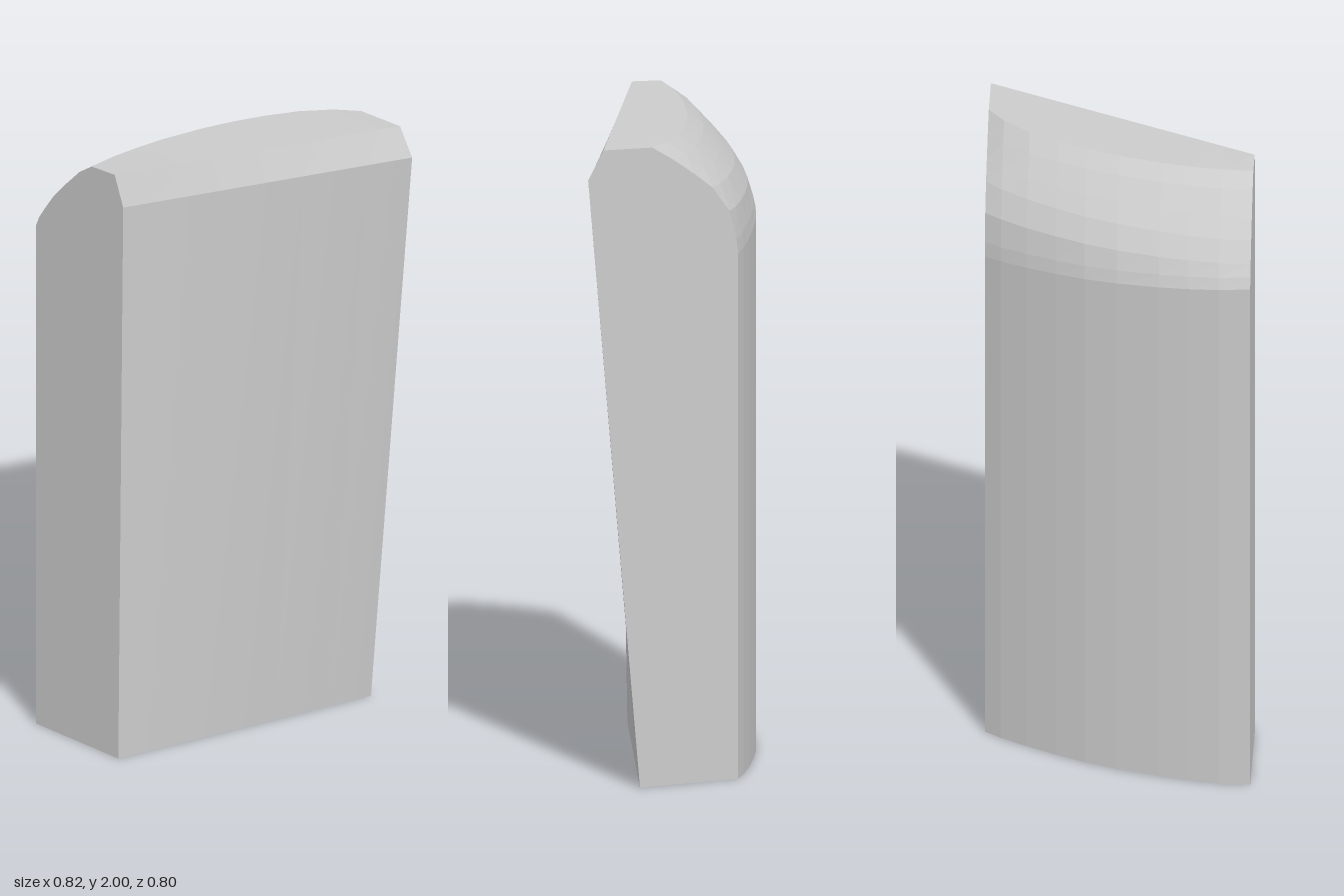
import * as THREE from 'three';

// Plan stations along x: [x, z of back wall, z where the crown starts to fall]
const STATIONS = [
  [-0.41, -0.40, -0.17], [-0.315, -0.395, -0.165], [-0.22, -0.377, -0.15], [-0.13, -0.355, -0.13],
  [0, -0.315, -0.09], [0.1, -0.275, -0.05], [0.19, -0.23, -0.005], [0.28, -0.18, 0.05],
  [0.36, -0.13, 0.12], [0.41, -0.092, 0.19],
];

// Rounded shoulder as fractions [depth, drop] at the left-hand and right-hand ends
const SHOULDER_A = [[0, 0], [0.22, 0.13], [0.48, 0.36], [0.68, 0.55], [0.85, 0.76], [0.94, 0.88], [1, 1]];
const SHOULDER_B = [[0, 0], [0.24, 0.12], [0.5, 0.27], [0.7, 0.4], [0.9, 0.62], [0.98, 0.87], [1, 1]];

const mix = THREE.MathUtils.lerp;

// One closed section, running up the front, over the crown and down the back
function section([x, back, ridge]) {
  const t = (x + 0.41) / 0.82;
  const points = [
    [x, 0, mix(-0.06, 0.23, t)],
    [x, mix(1.9, 1.91, t), mix(-0.04, 0.4, t)],
    [x, 2, mix(-0.075, 0.35, t)],
  ];
  SHOULDER_A.forEach((a, k) => {
    const b = SHOULDER_B[k];
    const depth = mix(a[0], b[0], t);
    const drop = mix(a[1], b[1], t);
    points.push([x, 1.995 - drop * mix(0.285, 0.355, t), mix(ridge, back, depth)]);
  });
  points.push([x, 0, back]);
  return points;
}

export function createModel() {
  const group = new THREE.Group();
  group.name = 'curvedBlock';
  const grey = new THREE.MeshStandardMaterial({ color: 0xcccccc, flatShading: true });
  grey.name = 'light grey';

  const rows = STATIONS.map(section);
  const n = rows[0].length;
  const last = rows.length - 1;
  const index = [];

  // Walls, crown and base between neighbouring sections
  for (let i = 0; i < last; i++) {
    for (let j = 0; j < n; j++) {
      const k = (j + 1) % n;
      const a = i * n + j, b = a + n, c = i * n + k, d = c + n;
      index.push(a, b, d, a, d, c);
    }
  }
  // Flat end faces
  for (let j = 1; j < n - 1; j++) {
    index.push(0, j, j + 1);
    index.push(last * n, last * n + j + 1, last * n + j);
  }

  const geometry = new THREE.BufferGeometry();
  geometry.setAttribute('position', new THREE.Float32BufferAttribute(rows.flat(2), 3));
  geometry.setIndex(index);
  const flat = geometry.toNonIndexed();
  flat.computeVertexNormals();

  const body = new THREE.Mesh(flat, grey);
  body.name = 'body';
  group.add(body);
  return group;
}
